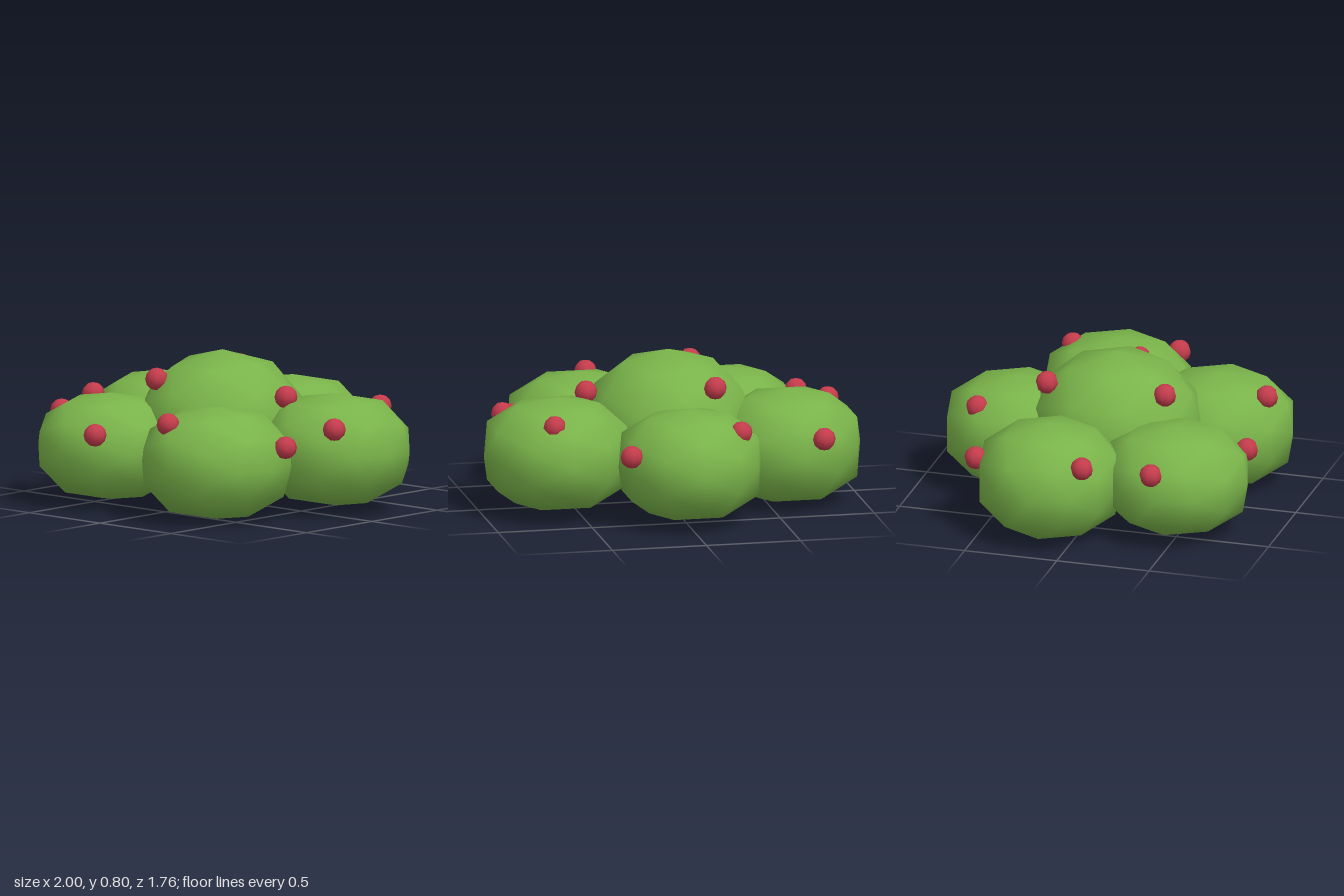
import * as THREE from 'three';
import { mergeVertices } from 'three/addons/utils/BufferGeometryUtils.js';

const leafGreen = new THREE.MeshStandardMaterial({ color: 0x7ab44a });
const berryRed = new THREE.MeshStandardMaterial({ color: 0xc43c4c });

// Smooth low-poly ball; fullness widens and lifts its shoulders
function lumpGeometry(size, fullness) {
  let geo = new THREE.IcosahedronGeometry(1, 1);
  geo.deleteAttribute('normal');
  geo.deleteAttribute('uv');
  geo = mergeVertices(geo, 1e-4);
  const p = geo.attributes.position;
  for (let i = 0; i < p.count; i++) {
    const y = Math.abs(p.getY(i));
    const swell = 1 + 0.75 * fullness * y * y * (1 - y);
    const lift = 1 + 0.25 * fullness * y * (1 - y);
    p.setXYZ(i, p.getX(i) * swell, p.getY(i) * lift, p.getZ(i) * swell);
  }
  geo.scale(...size);
  geo.computeVertexNormals();
  return geo;
}

// Name, centre, half sizes, fullness
const lumps = [
  ['centreLump', [-0.02, 0.405, 0.04], [0.45, 0.4, 0.465], 0],
  ['backLump', [-0.02, 0.32, -0.5], [0.38, 0.29, 0.385], 1],
  ['leftLump', [0.61, 0.325, -0.145], [0.39, 0.295, 0.395], 1],
  ['rightLump', [-0.62, 0.31, -0.15], [0.38, 0.3, 0.38], 1],
  ['frontLeftLump', [0.35, 0.3, 0.485], [0.395, 0.295, 0.395], 1],
  ['frontRightLump', [-0.41, 0.305, 0.47], [0.385, 0.28, 0.39], 1],
];

const berries = [
  [-0.26, 0.51, -0.65], [0.33, 0.42, -0.69], [-0.73, 0.42, -0.52],
  [-0.2, 0.665, -0.29], [-0.2, 0.665, 0.35], [0.42, 0.6, 0.03],
  [0.68, 0.53, -0.41], [0.845, 0.485, 0.12], [-0.88, 0.485, 0.1],
  [-0.785, 0.45, 0.445], [0.74, 0.41, 0.38], [-0.22, 0.42, 0.8],
  [0.265, 0.525, 0.765],
];

export function createModel() {
  const bush = new THREE.Group();
  bush.name = 'berryBush';

  // Foliage: one tall middle lump ringed by five smaller ones
  for (const [name, centre, size, fullness] of lumps) {
    const lump = new THREE.Mesh(lumpGeometry(size, fullness), leafGreen);
    lump.name = name;
    lump.position.set(...centre);
    bush.add(lump);
  }

  // Berries resting on the foliage
  const berryGeo = new THREE.SphereGeometry(0.06, 8, 6);
  berries.forEach((at, i) => {
    const berry = new THREE.Mesh(berryGeo, berryRed);
    berry.name = `berry${i + 1}`;
    berry.position.set(...at);
    bush.add(berry);
  });
  return bush;
}
